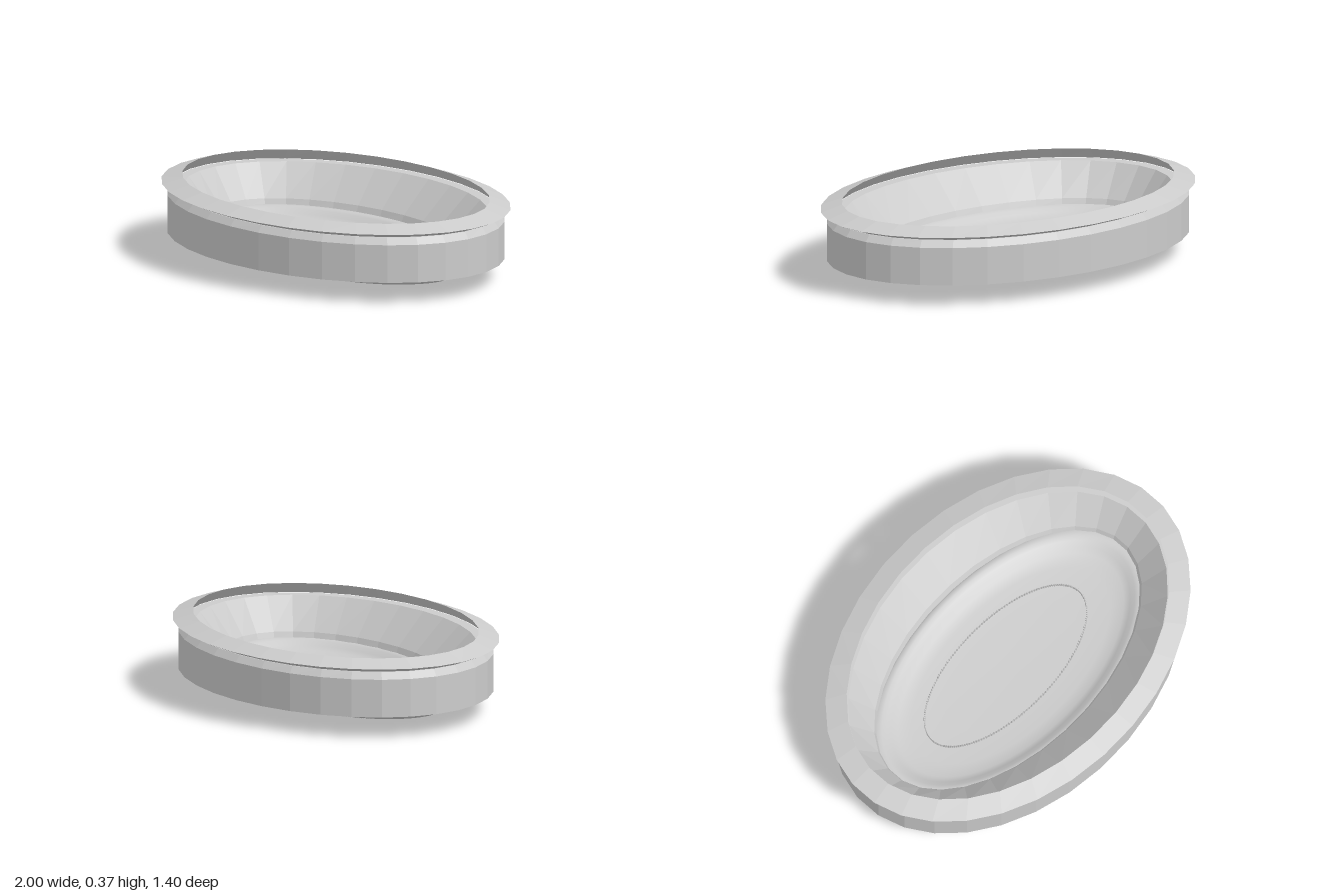
import * as THREE from 'three';

// Surface through a stack of elliptical sections [radiusX, radiusZ, y], ordered bottom to top on the outside
function ellipseLoft(profile, sides, phase = 0) {
  const positions = [];
  const index = [];
  for (const [rx, rz, y] of profile) {
    for (let i = 0; i < sides; i++) {
      const a = ((i + phase) / sides) * Math.PI * 2;
      positions.push(rx * Math.sin(a), y, rz * Math.cos(a));
    }
  }
  for (let j = 0; j < profile.length - 1; j++) {
    for (let i = 0; i < sides; i++) {
      const k = (i + 1) % sides;
      const a = j * sides + i, b = j * sides + k;
      const c = a + sides, d = b + sides;
      index.push(a, b, d, a, d, c);
    }
  }
  const geometry = new THREE.BufferGeometry();
  geometry.setAttribute('position', new THREE.Float32BufferAttribute(positions, 3));
  geometry.setIndex(index);
  geometry.computeVertexNormals();
  return geometry;
}

export function createModel() {
  const model = new THREE.Group();
  model.name = 'ovalBasin';
  const faceted = new THREE.MeshStandardMaterial({ color: 0xcccccc, flatShading: true, side: THREE.DoubleSide });
  const smooth = new THREE.MeshStandardMaterial({ color: 0xcccccc, side: THREE.DoubleSide });

  const add = (name, geometry, material) => {
    const mesh = new THREE.Mesh(geometry, material);
    mesh.name = name;
    model.add(mesh);
    return mesh;
  };

  // The faceted rings have flats, not corners, on the axes
  const SIDES = 32;
  const grow = 1 / Math.cos(Math.PI / SIDES);
  const facetedRing = (profile) =>
    ellipseLoft(profile.map(([rx, rz, y]) => [rx * grow, rz * grow, y]), SIDES, 0.5);

  // Outer skirt, bevelled shoulder, sloping inner wall and its short steep foot, open underneath
  add('bodyRing', facetedRing([
    [0.97, 0.675, 0.1],
    [0.97, 0.675, 0.28],
    [0.945, 0.65, 0.312],
    [0.89, 0.595, 0.312],
    [0.785, 0.445, 0.16],
    [0.772, 0.43, 0.125],
  ]), faceted);

  // Sharp overhanging lip
  add('rimLip', facetedRing([
    [0.945, 0.65, 0.314],
    [1.0, 0.7, 0.335],
    [0.895, 0.605, 0.367],
    [0.945, 0.65, 0.314],
  ]), faceted);

  // Smooth thick dish: rounded underside, rolled edge, then the shallow inner bowl
  const dish = add('dish', ellipseLoft([
    [0, 0, 0.022],
    [0.3, 0.13, 0.022],
    [0.5, 0.24, 0.026],
    [0.65, 0.33, 0.034],
    [0.76, 0.395, 0.045],
    [0.82, 0.432, 0.057],
    [0.855, 0.454, 0.073],
    [0.867, 0.462, 0.09],
    [0.862, 0.46, 0.104],
    [0.845, 0.453, 0.12],
    [0.8, 0.44, 0.134],
    [0.765, 0.42, 0.134],
    [0.74, 0.4, 0.126],
    [0.715, 0.38, 0.108],
    [0.68, 0.355, 0.092],
    [0.6, 0.305, 0.082],
    [0.4, 0.19, 0.076],
    [0, 0, 0.075],
  ], 72), smooth);
  dish.position.z = 0.017;

  // Oval foot: a row of fine pins through the dish, joined by a thin band
  const foot = new THREE.Group();
  foot.name = 'foot';
  foot.position.x = -0.016;
  model.add(foot);

  const band = new THREE.Mesh(ellipseLoft([[0.505, 0.225, 0.018], [0.505, 0.225, 0.1]], 96), smooth);
  band.name = 'footBand';
  foot.add(band);

  const PINS = 200;
  const pins = new THREE.InstancedMesh(new THREE.CylinderGeometry(0.004, 0.004, 0.104, 6), smooth, PINS);
  pins.name = 'footPins';
  const matrix = new THREE.Matrix4();
  for (let i = 0; i < PINS; i++) {
    const a = (i / PINS) * Math.PI * 2;
    matrix.makeTranslation(0.505 * Math.cos(a), 0.052, 0.225 * Math.sin(a));
    pins.setMatrixAt(i, matrix);
  }
  foot.add(pins);

  return model;
}
